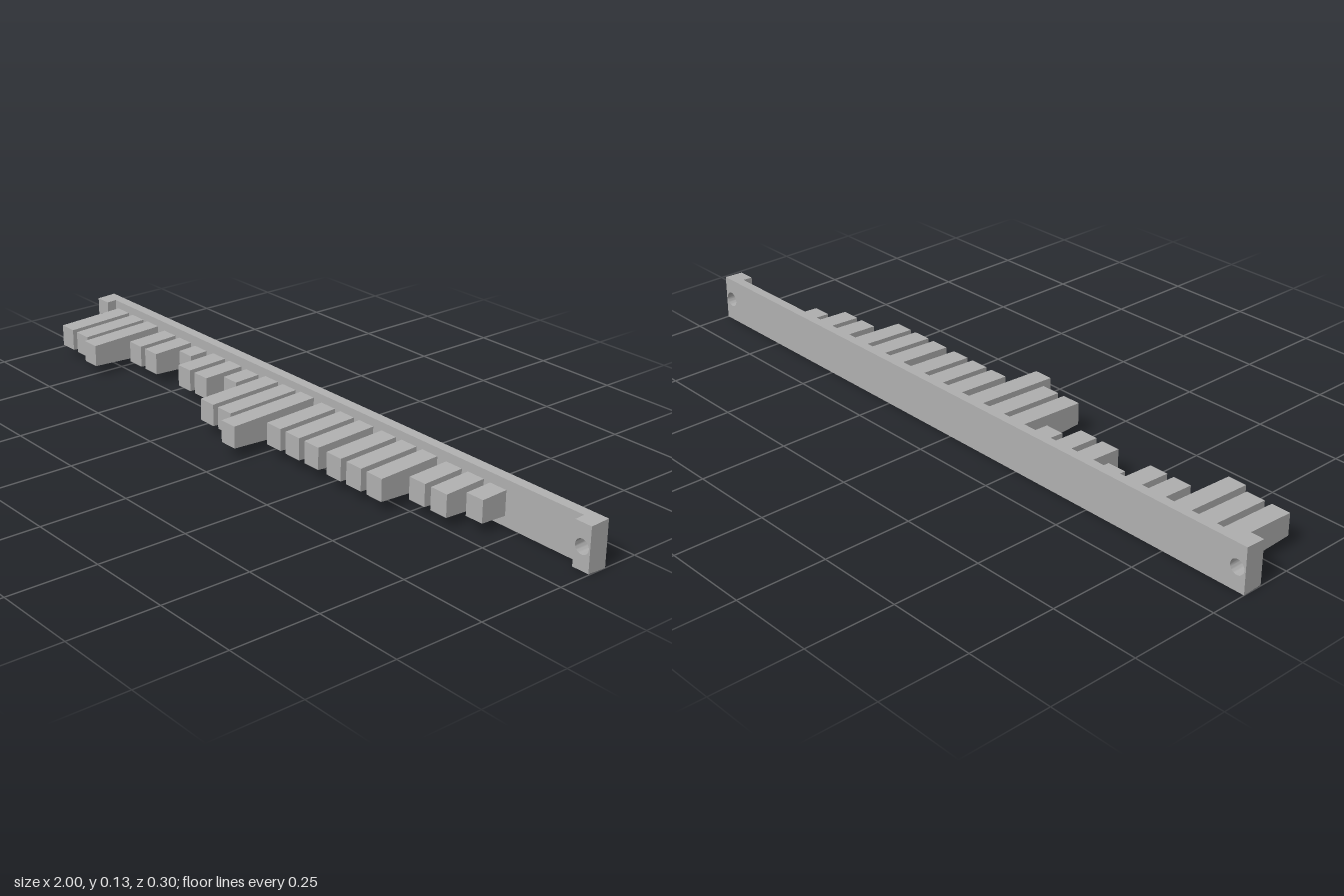
import * as THREE from 'three';
import { toCreasedNormals } from 'three/addons/utils/BufferGeometryUtils.js';

const MID_Y = 0.064, BACK_Z = -0.148, PLATE_Z = -0.12, PAD_Z = -0.091;
const DRAFT = 0.043; // inward slope of the top and bottom faces towards the front

// Extrude an outline from z0 to z1, then narrow its height towards the front
function drafted(shape, z0, z1, halfHeight) {
  const geo = new THREE.ExtrudeGeometry(shape, { depth: z1 - z0, bevelEnabled: false, curveSegments: 16 });
  const p = geo.attributes.position;
  for (let i = 0; i < p.count; i++) {
    p.setY(i, p.getY(i) * (1 - (DRAFT * p.getZ(i)) / halfHeight));
  }
  geo.translate(0, MID_Y, z0);
  return toCreasedNormals(geo, 0.6);
}

function rectangle(x0, x1, halfHeight) {
  return new THREE.Shape([
    new THREE.Vector2(x0, -halfHeight), new THREE.Vector2(x1, -halfHeight),
    new THREE.Vector2(x1, halfHeight), new THREE.Vector2(x0, halfHeight),
  ]);
}

export function createModel() {
  const model = new THREE.Group();
  model.name = 'toothedStrip';
  const grey = new THREE.MeshStandardMaterial({ color: 0xb0b0b0 });
  grey.name = 'grey';

  const add = (name, geo, x = 0) => {
    const mesh = new THREE.Mesh(geo, grey);
    mesh.name = name;
    mesh.position.x = x;
    model.add(mesh);
  };

  // Long backing plate between the end pads
  const plateHalf = 0.0635;
  add('backPlate', drafted(rectangle(-0.95, 0.95, plateHalf), BACK_Z, PLATE_Z, plateHalf));

  // Thicker mounting pads with a screw hole through each
  for (const side of [-1, 1]) {
    const outline = rectangle(-0.025, 0.025, plateHalf);
    outline.holes.push(new THREE.Path().absarc(0, 0, 0.021, 0, Math.PI * 2, true));
    add(side > 0 ? 'leftMountingPad' : 'rightMountingPad',
      drafted(outline, BACK_Z, PAD_Z, plateHalf), side * 0.975);
  }

  // Teeth in groups of three; each number is where the tip ends in z
  const tips = [
    [0.08, 0.08, 0.102],
    [0.003, 0.003, -0.064],
    [0.003, 0.003, -0.042],
    [0.102, 0.102, 0.148],
    [0.065, 0.065, 0.065],
    [0.065, 0.065, 0.065],
    [0.003, 0.003, -0.042],
  ];
  tips.forEach((group, g) => group.forEach((tip, i) => {
    const baseHalf = 0.031 + DRAFT * (tip - PLATE_Z);
    add(`tooth${g * 3 + i + 1}`,
      drafted(rectangle(-0.0275, 0.0275, baseHalf), PLATE_Z, tip, baseHalf),
      -0.909 + g * 0.239 + i * 0.076);
  }));

  return model;
}
